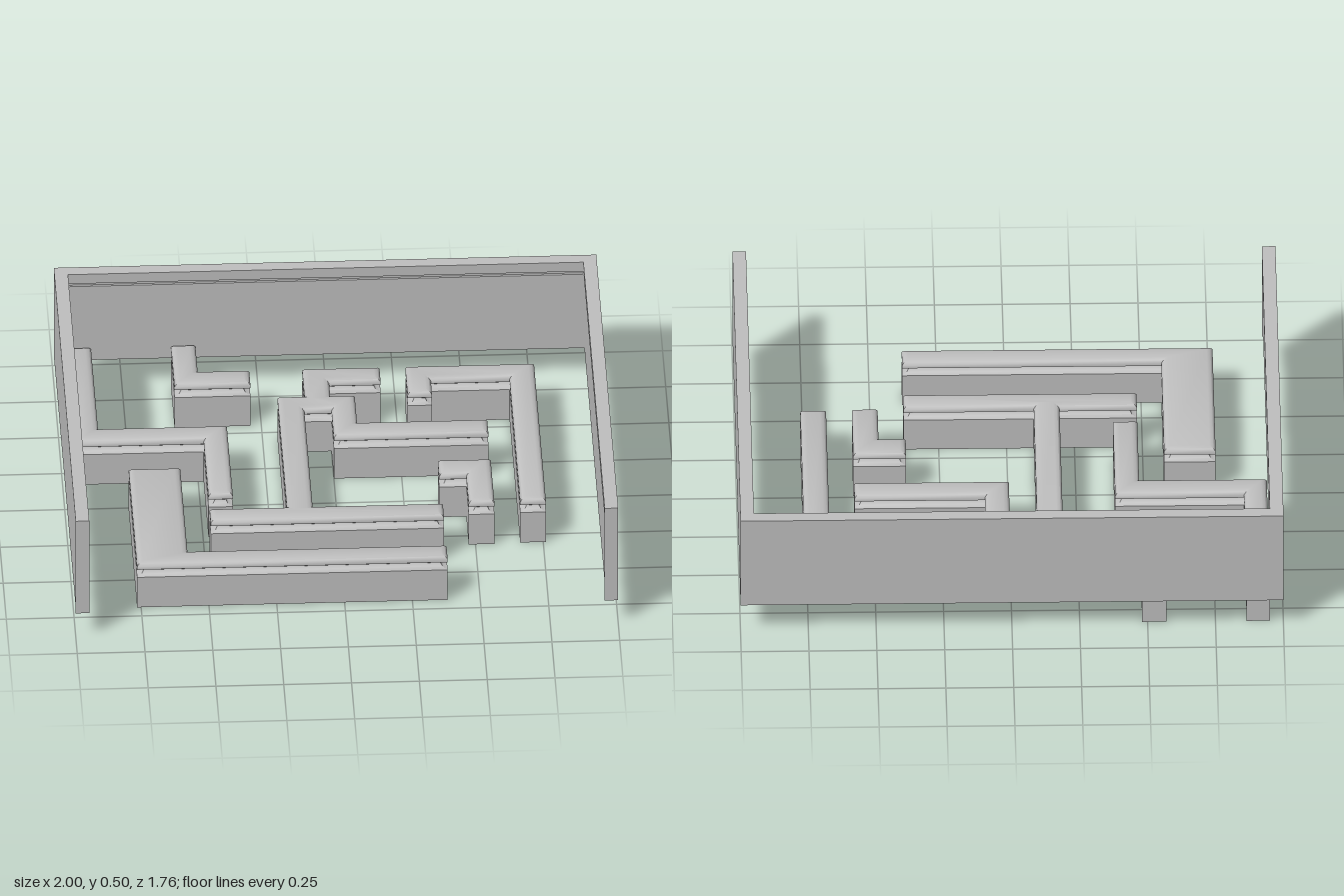
import * as THREE from 'three';
import { toCreasedNormals } from 'three/addons/utils/BufferGeometryUtils.js';

const stone = new THREE.MeshStandardMaterial({ color: 0xbfbfbf });
stone.name = 'stone grey';

// Shrinks a right-angled outline (clockwise in x, z) by t
function inset(outline, t) {
  const n = outline.length;
  const normal = i => {
    const [a, b] = [outline[i % n], outline[(i + 1) % n]];
    return [-Math.sign(b[1] - a[1]), Math.sign(b[0] - a[0])];
  };
  return outline.map(([x, z], i) => {
    const p = normal(i + n - 1), q = normal(i);
    return [x + t * (p[0] + q[0]), z + t * (p[1] + q[1])];
  });
}

// Lofts an outline through a profile of [inset, height] and closes both ends
function loft(outline, profile) {
  const pos = [];
  const rings = profile.map(([t, y]) => inset(outline, t).map(([x, z]) => [x, y, z]));
  const n = outline.length;
  for (let k = 0; k < rings.length - 1; k++) {
    for (let i = 0; i < n; i++) {
      const j = (i + 1) % n, a = rings[k], b = rings[k + 1];
      pos.push(...a[i], ...b[i], ...a[j], ...a[j], ...b[i], ...b[j]);
    }
  }
  const cap = (ring, up) => {
    const pts = ring.map(p => new THREE.Vector2(p[0], p[2]));
    for (const [a, b, c] of THREE.ShapeUtils.triangulateShape(pts, [])) {
      const facesUp = THREE.ShapeUtils.area([pts[a], pts[b], pts[c]]) < 0;
      pos.push(...ring[a], ...(facesUp === up ? [...ring[b], ...ring[c]] : [...ring[c], ...ring[b]]));
    }
  };
  cap(rings[0], false);
  cap(rings[rings.length - 1], true);
  const g = new THREE.BufferGeometry();
  g.setAttribute('position', new THREE.Float32BufferAttribute(pos, 3));
  return toCreasedNormals(g, 0.8);
}

// Block, hollow neck and soft-edged coping
const wallProfile = [
  [0, 0], [0, 0.13], [0.018, 0.135], [0.025, 0.147], [0.018, 0.158],
  [0, 0.163], [0, 0.175], [0.008, 0.184], [0.022, 0.189],
];

const walls = {
  cornerWall: [[-0.95, -0.83], [-0.865, -0.83], [-0.865, -0.265], [-0.39, -0.265],
    [-0.39, 0.215], [-0.48, 0.215], [-0.48, -0.17], [-0.95, -0.17]],
  backStubWall: [[-0.57, -0.83], [-0.48, -0.83], [-0.48, -0.645], [-0.29, -0.645],
    [-0.29, -0.55], [-0.57, -0.55]],
  centralWall: [[-0.095, -0.645], [0.19, -0.645], [0.19, -0.55], [0, -0.55], [0, -0.455],
    [0.09, -0.455], [0.09, -0.265], [0.57, -0.265], [0.57, -0.17], [0, -0.17], [0, -0.36],
    [-0.1, -0.36], [-0.1, 0.31], [0.38, 0.31], [0.38, 0.4], [-0.48, 0.4], [-0.48, 0.31],
    [-0.195, 0.31], [-0.195, -0.455], [-0.095, -0.455]],
  hookWall: [[0.285, -0.645], [0.76, -0.645], [0.76, 0.305], [0.665, 0.305],
    [0.665, -0.55], [0.375, -0.55], [0.375, -0.455], [0.285, -0.455]],
  smallWall: [[0.375, 0.01], [0.57, 0.01], [0.57, 0.31], [0.475, 0.31],
    [0.475, 0.115], [0.375, 0.115]],
  frontWall: [[-0.765, 0.02], [-0.575, 0.02], [-0.575, 0.6], [0.38, 0.6],
    [0.38, 0.69], [-0.765, 0.69]],
};

// Three-sided outline, open at the front
function surround(t) {
  const X = 1, Z = 0.88;
  return [[-X, -Z], [X, -Z], [X, Z], [X - t, Z], [X - t, -Z + t],
    [-X + t, -Z + t], [-X + t, Z], [-X, Z]];
}

export function createModel() {
  const model = new THREE.Group();
  model.name = 'maze';
  const add = (name, geometry) => {
    const mesh = new THREE.Mesh(geometry, stone);
    mesh.name = name;
    model.add(mesh);
    return mesh;
  };

  for (const [name, outline] of Object.entries(walls)) add(name, loft(outline, wallProfile));

  // Enclosure: panel, shallow groove and overhanging rim
  add('enclosurePanel', loft(surround(0.046), [[0, 0.125], [0, 0.445]]));
  add('enclosureGroove', loft(surround(0.036), [[0, 0.445], [0, 0.46]]));
  add('enclosureRim', loft(surround(0.05), [[0, 0.46], [0, 0.5]]));

  // Plates closing the front ends of the side walls
  for (const side of [-1, 1]) {
    add(side > 0 ? 'leftEndPlate' : 'rightEndPlate', new THREE.BoxGeometry(0.05, 0.4, 0.004))
      .position.set(side * 0.975, 0.3, 0.879);
  }
  return model;
}
